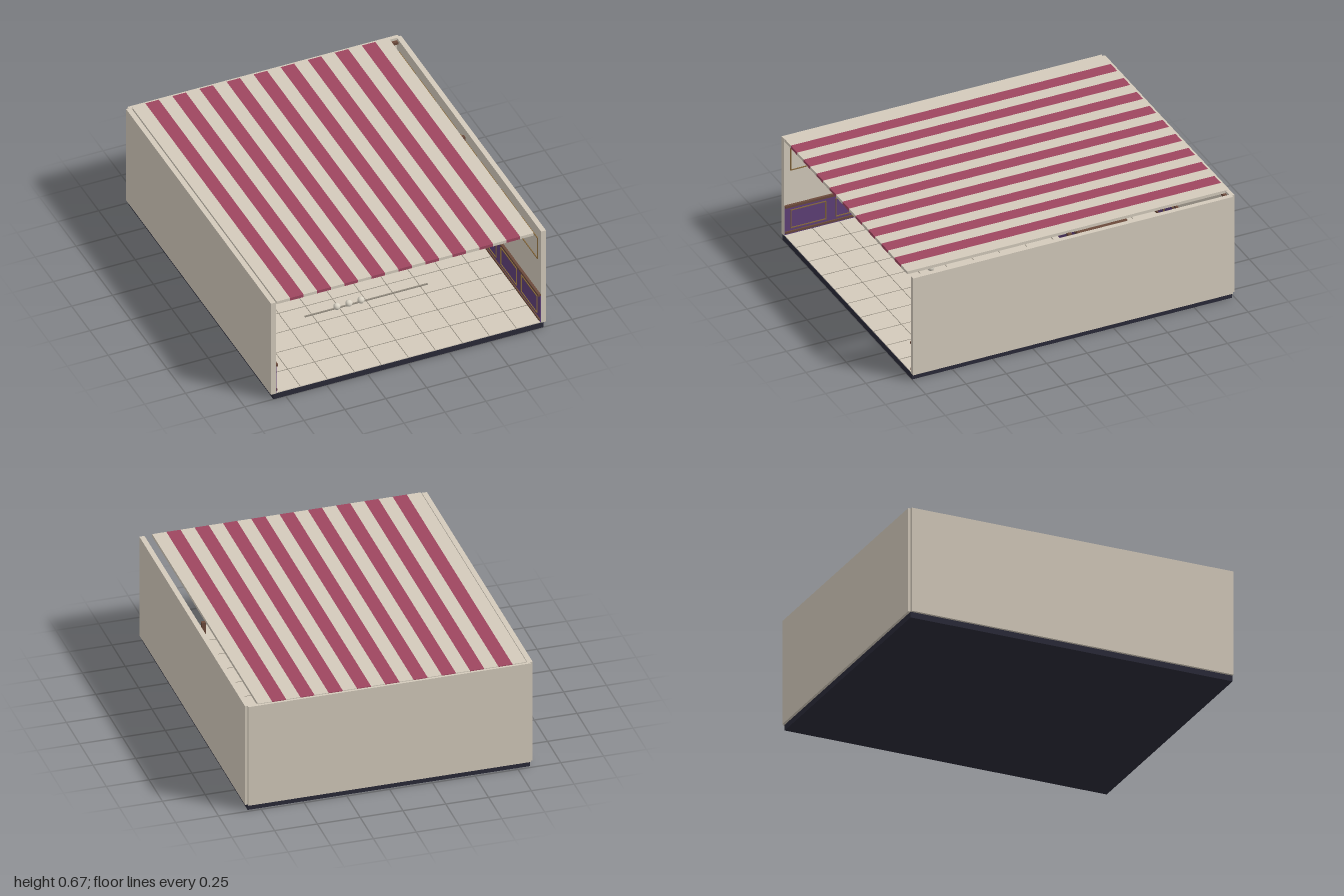
import * as THREE from 'three';

const mat = (name, color) => Object.assign(new THREE.MeshStandardMaterial({ color }), { name });

export function createModel() {
  const root = new THREE.Group();
  root.name = 'fairgroundBooth';
  const cream = mat('cream', 0xd3cabb);
  const magenta = mat('magenta', 0x9e465f);
  const purple = mat('purple', 0x5f4078);
  const brown = mat('brown', 0x6b4a3b);
  const navy = mat('navy', 0x2a2a38);
  const gold = mat('gold', 0x86683c);
  const grout = mat('grout', 0x8f887c);
  const ivory = mat('ivory', 0xdad4c6);

  const add = (name, geometry, material, x, y, z, parent = root) => {
    const m = new THREE.Mesh(geometry, material);
    m.name = name;
    m.position.set(x, y, z);
    parent.add(m);
    return m;
  };
  // Box given by its minimum and maximum on each axis
  const box = (name, material, x0, x1, y0, y1, z0, z1, parent) =>
    add(name, new THREE.BoxGeometry(x1 - x0, y1 - y0, z1 - z0), material,
      (x0 + x1) / 2, (y0 + y1) / 2, (z0 + z1) / 2, parent);

  // Base and tiled floor
  box('base', navy, -0.825, 0.825, 0, 0.035, -0.985, 1);
  box('floor', cream, -0.81, 0.81, 0.035, 0.04, -0.975, 0.998);
  for (let i = -4; i <= 4; i++)
    box('floorSeamLong', grout, i * 0.165 - 0.002, i * 0.165 + 0.002, 0.04, 0.0408, -0.975, 0.998);
  for (let i = -5; i <= 5; i++)
    box('floorSeamCross', grout, -0.81, 0.81, 0.04, 0.0408, i * 0.165 - 0.002, i * 0.165 + 0.002);

  // Walls
  for (const s of [-1, 1])
    add('sideWall', new THREE.BoxGeometry(0.03, 0.635, 1.985), cream, s * 0.825, 0.3525, 0.0075);
  box('backWall', cream, -0.825, 0.825, 0.035, 0.67, -1, -0.975);

  // Striped roof
  const stripe = 1.57 / 19;
  for (let i = 0; i < 19; i++) {
    const x = -0.805 + i * stripe;
    box('roofStripe', i % 2 ? magenta : cream, x, x + stripe, 0.656, 0.674, -0.985, 1);
  }

  // Thin rectangular outline facing +z
  const outline = (name, material, w, h, t, parent, x, y, z) => {
    const shape = new THREE.Shape();
    const rect = (p, a, b) => p.moveTo(-a, -b).lineTo(a, -b).lineTo(a, b).lineTo(-a, b).closePath();
    rect(shape, w / 2, h / 2);
    shape.holes.push(rect(new THREE.Path(), w / 2 - t, h / 2 - t));
    add(name, new THREE.ExtrudeGeometry(shape, { depth: 0.005, bevelEnabled: false }), material, x, y, z, parent);
  };

  // Panelling of one wall, built along x and facing +z
  const panelling = (name, length, centres, width) => {
    const g = new THREE.Group();
    g.name = name;
    const h = length / 2;
    box('wainscot', purple, -h, h, 0.04, 0.22, 0, 0.005, g);
    box('skirting', brown, -h, h, 0.05, 0.062, 0.005, 0.012, g);
    box('wainscotCap', brown, -h, h, 0.218, 0.232, 0, 0.016, g);
    for (const c of centres) {
      outline('wainscotPanel', gold, width, 0.12, 0.005, g, c, 0.138, 0.005);
      outline('wallFrame', gold, width, 0.147, 0.005, g, c, 0.527, 0.001);
    }
    root.add(g);
    return g;
  };
  const series = (n, start, step) => Array.from({ length: n }, (_, i) => start + i * step);
  panelling('backPanelling', 1.62, series(5, -0.7, 0.263), 0.205).position.z = -0.975;
  const left = panelling('leftPanelling', 1.97, series(7, -0.84, 0.28), 0.22);
  left.rotation.y = -Math.PI / 2;
  left.position.set(0.81, 0, 0.012);
  const right = panelling('rightPanelling', 1.97, series(7, -0.84, 0.28), 0.22);
  right.rotation.y = Math.PI / 2;
  right.position.set(-0.81, 0, 0.012);

  // Posts and rear beam
  for (const s of [-1, 1])
    add('post', new THREE.BoxGeometry(0.023, 0.62, 0.023), brown, s * 0.777, 0.35, 0);
  box('rearBeam', brown, -0.81, 0.81, 0.638, 0.654, -0.975, -0.955);

  // Counter
  box('counter', purple, -0.495, 0.495, 0.04, 0.208, -0.64, -0.37);
  box('counterTop', brown, -0.51, 0.51, 0.208, 0.228, -0.66, -0.35);

  // Stacked cans with pale rims
  const can = (x, y, material) => {
    const g = new THREE.Group();
    g.name = 'can';
    g.position.set(x, y, -0.5);
    add('canBody', new THREE.CylinderGeometry(0.028, 0.028, 0.048, 24), material, 0, 0.027, 0, g);
    for (const ry of [0.002, 0.053])
      add('canRim', new THREE.CylinderGeometry(0.029, 0.029, 0.004, 24), ivory, 0, ry, 0, g);
    root.add(g);
  };
  [[navy, magenta, navy], [magenta, navy], [magenta]].forEach((row, r) =>
    row.forEach((m, i) => can((i - (row.length - 1) / 2) * 0.068 - 0.002, 0.229 + r * 0.059, m)));

  // Shelves with egg-shaped prizes
  for (const s of [-1, 1]) {
    box('shelf', brown, s * 0.612 - 0.098, s * 0.612 + 0.098, 0.27, 0.284, -0.975, -0.84);
    for (const d of [-0.05, 0.05])
      add('prize', new THREE.SphereGeometry(0.032, 20, 14), ivory, s * 0.612 + d, 0.326, -0.905)
        .scale.y = 1.3;
  }

  // Hanging lamps
  for (const s of [-1, 1]) {
    const g = new THREE.Group();
    g.name = 'lamp';
    g.position.set(s * 0.462, 0, 0);
    add('lampRod', new THREE.CylinderGeometry(0.003, 0.003, 0.058, 8), brown, 0, 0.628, 0, g);
    add('lampShade', new THREE.CylinderGeometry(0.047, 0.047, 0.018, 24), navy, 0, 0.592, 0, g);
    add('lampBase', new THREE.CylinderGeometry(0.04, 0.03, 0.01, 24), navy, 0, 0.579, 0, g);
    root.add(g);
  }

  // Throwing line and balls
  box('throwLine', grout, -0.375, 0.375, 0.04, 0.045, 0.415, 0.425);
  for (const x of [-0.183, -0.11, -0.036])
    add('ball', new THREE.SphereGeometry(0.02, 18, 12), ivory, x, 0.062, 0.43);

  return root;
}
